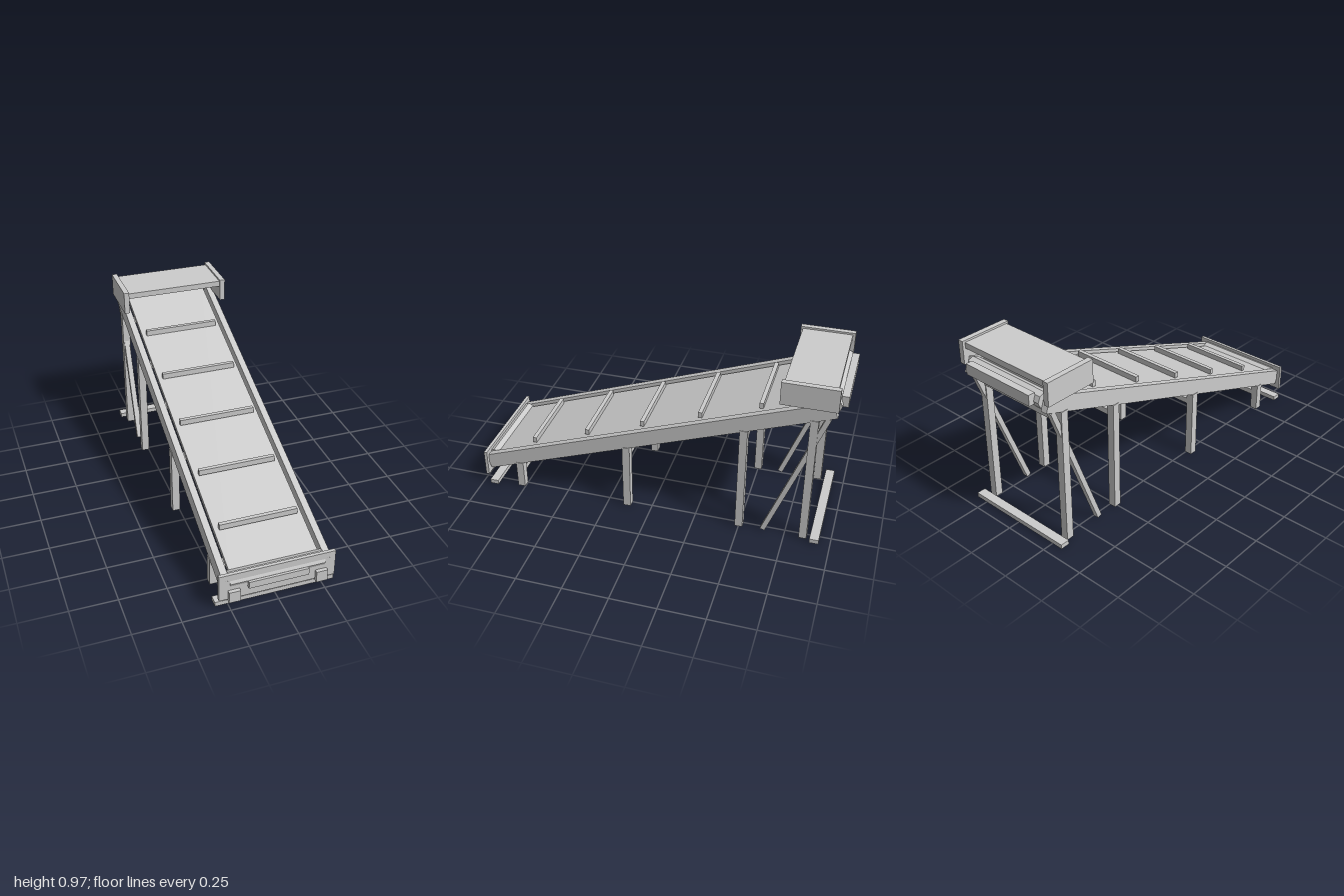
import * as THREE from 'three';

export function createModel() {
  const model = new THREE.Group();
  model.name = 'inclinedConveyor';
  const grey = new THREE.MeshStandardMaterial({ color: 0xcccccc });
  grey.name = 'plain grey';

  const SLOPE = 0.352;
  // Underside height of the side rails at a given z
  const railBottom = z => 0.095 + (0.95 - z) * 0.3675;

  function add(name, geometry, x, y, z, parent = model) {
    const mesh = new THREE.Mesh(geometry, grey);
    mesh.name = name;
    mesh.position.set(x, y, z);
    parent.add(mesh);
    return mesh;
  }
  // Box given by its extents along each axis
  function block(name, [x0, x1], [y0, y1], [z0, z1], parent = model) {
    return add(name, new THREE.BoxGeometry(x1 - x0, y1 - y0, z1 - z0),
      (x0 + x1) / 2, (y0 + y1) / 2, (z0 + z1) / 2, parent);
  }

  // Sloping bed: belt between two side rails
  const bed = new THREE.Group();
  bed.name = 'slopingBed';
  bed.position.set(0, 0.486, 0.01);
  bed.rotation.x = SLOPE;
  model.add(bed);
  block('belt', [-0.235, 0.235], [0.006, 0.031], [-0.97, 0.97], bed);
  for (const s of [-1, 1]) {
    add('sideRail', new THREE.BoxGeometry(0.036, 0.087, 2.035), s * 0.268, 0, 0, bed);
  }

  // Upright slats across the belt
  for (let i = 0; i < 6; i++) {
    const y = 0.27 + i * 0.1163, z = 0.702 - i * 0.318;
    block('slat', [-0.21, 0.21], [y, y + 0.031], [z - 0.011, z + 0.011]);
  }

  // Eight-sided end rollers
  for (const [y, z] of [[0.155, 0.944], [0.842, -0.93]]) {
    const roller = new THREE.CylinderGeometry(0.043, 0.043, 0.5, 8).toNonIndexed();
    roller.computeVertexNormals();
    add('endRoller', roller, 0, y, z).rotation.z = Math.PI / 2;
  }

  // Legs in pairs, each pair with a cross brace
  for (const z of [0.772, 0.136, -0.5, -0.85]) {
    const top = railBottom(z);
    for (const s of [-1, 1]) {
      add('leg', new THREE.BoxGeometry(0.042, top, 0.042), s * 0.268, top / 2 + 0.004, z);
    }
    block('crossBrace', [-0.25, 0.25], [top - 0.068, top - 0.036], [z - 0.016, z + 0.016]);
  }

  // Diagonal struts beside the rear legs
  const foot = new THREE.Vector3(0, 0.007, -0.63), head = new THREE.Vector3(0, 0.78, -0.918);
  const strut = head.clone().sub(foot), middle = foot.clone().add(head).multiplyScalar(0.5);
  for (const s of [-1, 1]) {
    add('diagonalStrut', new THREE.BoxGeometry(0.03, strut.length(), 0.027),
      s * 0.268, middle.y, middle.z).rotation.x = Math.atan2(strut.z, strut.y);
  }

  // Floor bars
  block('frontFloorBar', [-0.317, 0.317], [0.006, 0.031], [0.905, 0.953]);
  block('rearFloorBar', [-0.317, 0.317], [0.006, 0.031], [-0.94, -0.89]);

  // Front plate with its lip and two buffers
  block('frontPlate', [-0.306, 0.306], [0.06, 0.21], [0.962, 0.98]);
  block('frontLip', [-0.158, 0.158], [0.115, 0.154], [0.978, 1.0]);
  for (const s of [-1, 1]) {
    add('buffer', new THREE.BoxGeometry(0.06, 0.064, 0.022), s * 0.23, 0.083, 0.989);
  }

  // Rear discharge bar
  block('rearBar', [-0.218, 0.218], [0.826, 0.885], [-1.0, -0.962]);

  // Hood over the upper end
  block('hoodTop', [-0.28, 0.28], [0.925, 0.957], [-0.948, -0.684]);
  for (const s of [-1, 1]) {
    add('hoodSide', new THREE.BoxGeometry(0.03, 0.127, 0.29), s * 0.292, 0.904, -0.818);
  }
  return model;
}
